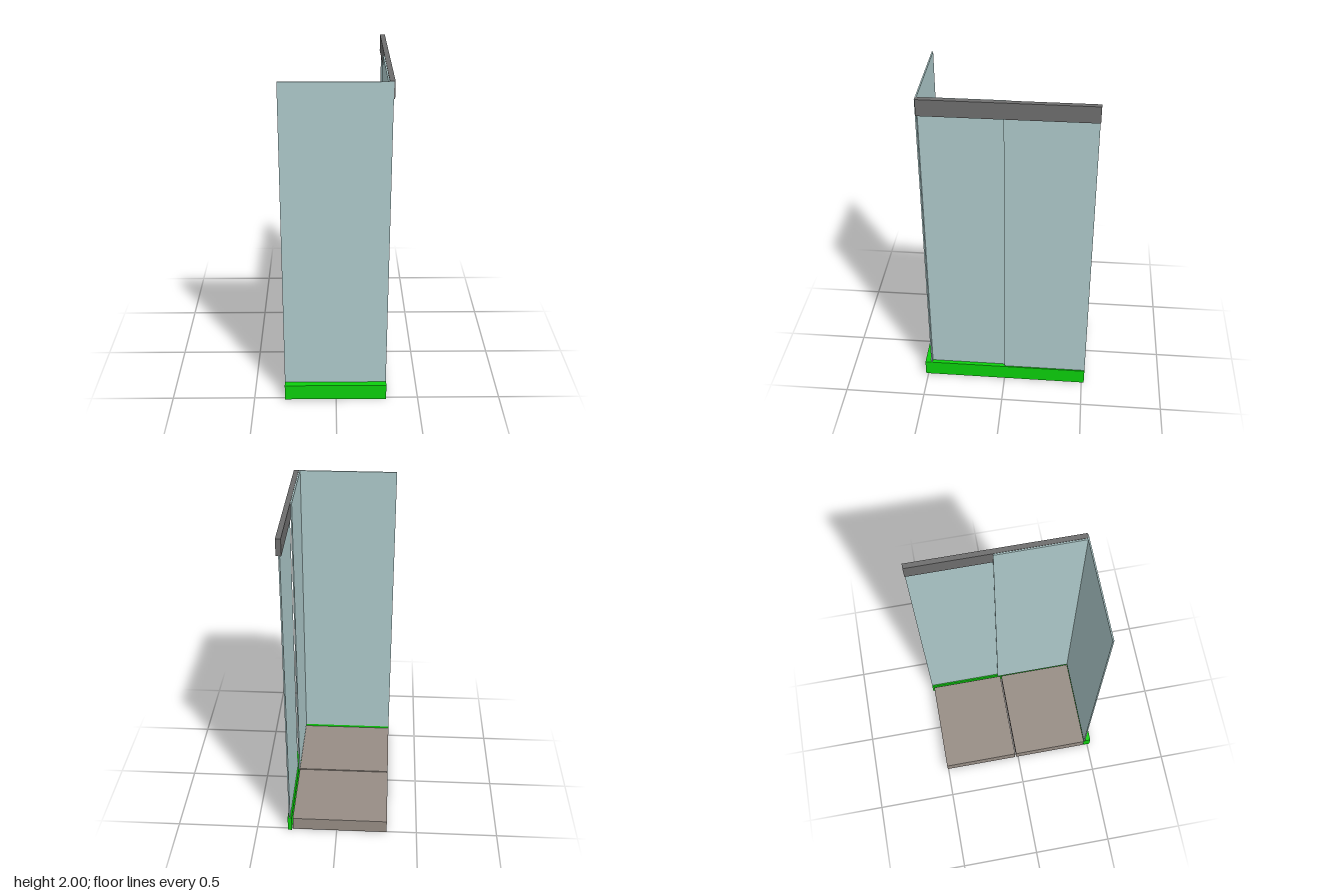
import * as THREE from 'three';

const green = new THREE.MeshStandardMaterial({ color: 0x0ccf0c });
const stone = new THREE.MeshStandardMaterial({ color: 0x978d85 });
const steel = new THREE.MeshStandardMaterial({ color: 0x6e6e6e });
const glass = new THREE.MeshStandardMaterial({ color: 0xaecacb });

// Box given by its min and max corners
function block(name, material, [x0, y0, z0], [x1, y1, z1]) {
  const mesh = new THREE.Mesh(new THREE.BoxGeometry(x1 - x0, y1 - y0, z1 - z0), material);
  mesh.position.set((x0 + x1) / 2, (y0 + y1) / 2, (z0 + z1) / 2);
  mesh.name = name;
  return mesh;
}

export function createModel() {
  const group = new THREE.Group();
  group.name = 'showerEnclosure';
  const left = -0.313, right = 0.306, curbTop = 0.1, top = 2;

  // Two floor slabs with a narrow joint
  [['backFloorSlab', -0.504, -0.022], ['frontFloorSlab', -0.014, 0.47]].forEach(([name, z0, z1]) =>
    group.add(block(name, stone, [left, 0, z0], [0.275, 0.085, z1])));

  // L-shaped curb around the front and the side
  group.add(block('frontCurb', green, [left, 0, 0.472], [right, curbTop, 0.516]));
  group.add(block('sideCurb', green, [0.281, 0, -0.516], [right, curbTop, 0.472]));

  // Fixed front pane
  group.add(block('frontGlass', glass, [left, curbTop, 0.47], [right - 0.002, top - 0.002, 0.478]));

  // Sliding pane inside the rail, fixed pane below the rail
  group.add(block('innerDoorGlass', glass, [0.273, curbTop, -0.04], [0.281, top - 0.002, 0.47]));
  group.add(block('outerDoorGlass', glass, [0.29, curbTop, -0.516], [0.298, 1.905, 0]));

  // Top rail
  group.add(block('topRail', steel, [0.2815, 1.902, -0.518], [0.311, top, 0.474]));

  return group;
}
